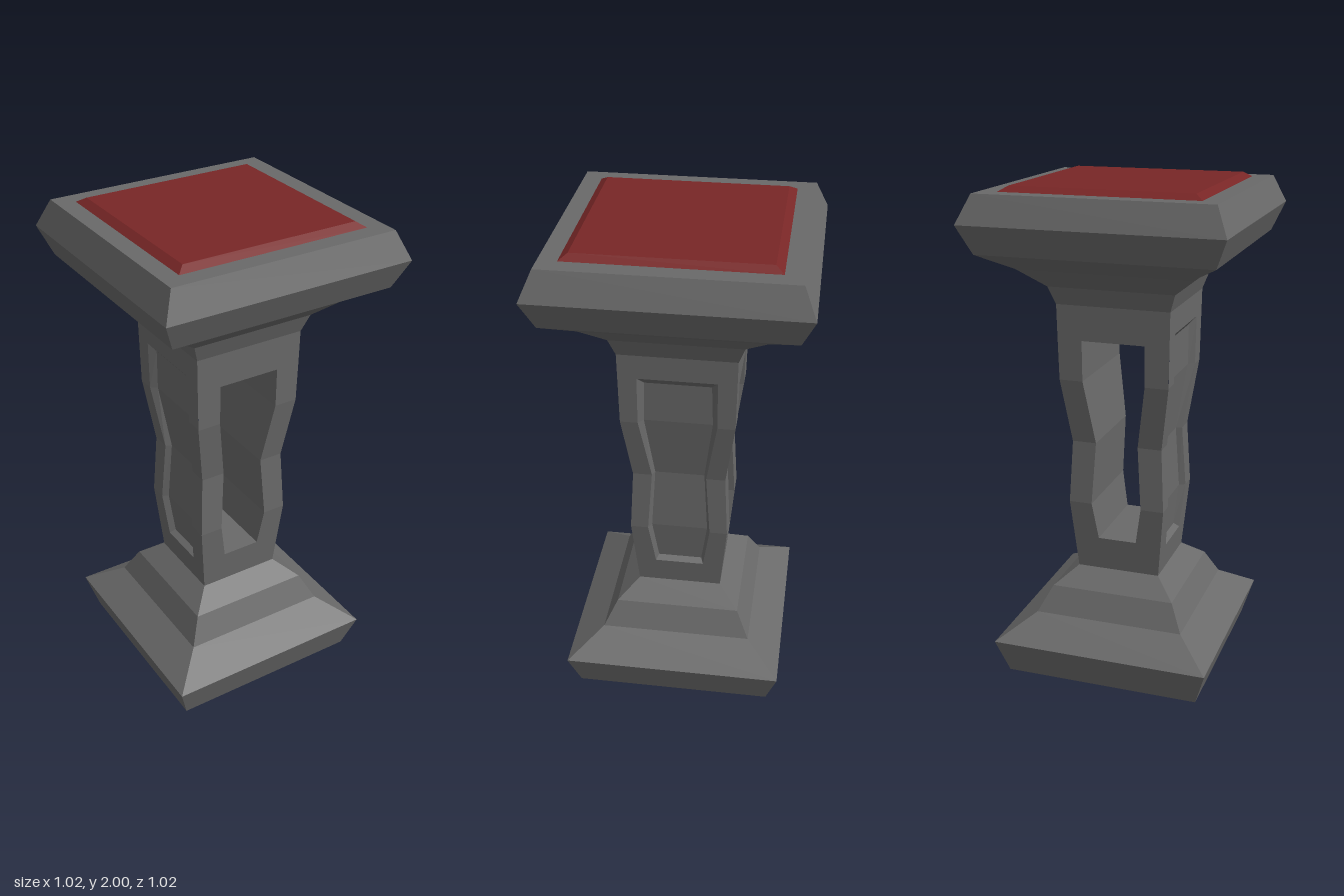
import * as THREE from 'three';

const stone = new THREE.MeshStandardMaterial({ color: 0x696969 });
stone.name = 'grey stone';
const red = new THREE.MeshStandardMaterial({ color: 0x782626 });
red.name = 'dark red';

// Shaft half-width by height
const SHAFT = [[0.415, 0.173], [0.71, 0.2], [0.97, 0.187], [1.24, 0.225], [1.54, 0.23]];
// Half-width by height of the through opening, and of the sunken side panel
const OPENING = [[0.555, 0.08], [0.71, 0.105], [0.97, 0.088], [1.235, 0.128], [1.4, 0.128]];
const PANEL_RIM = [[0.525, 0.1], [0.71, 0.128], [0.97, 0.11], [1.24, 0.155], [1.44, 0.155]];
const PANEL_FLOOR = [[0.54, 0.09], [0.71, 0.115], [0.97, 0.1], [1.24, 0.135], [1.41, 0.13]];
const PANEL_DEPTH = 0.025;

function shaftWidth(y) {
  let i = 1;
  while (i < SHAFT.length - 1 && y > SHAFT[i][0]) i++;
  const [y0, w0] = SHAFT[i - 1], [y1, w1] = SHAFT[i];
  return w0 + (w1 - w0) * (y - y0) / (y1 - y0);
}

// Square turned profile with flat faces
function squareLoft(name, profile, material) {
  const points = profile.map(([y, w]) => new THREE.Vector2(w * Math.SQRT2, y));
  const geometry = new THREE.LatheGeometry(points, 4, Math.PI / 4).toNonIndexed();
  geometry.computeVertexNormals();
  const mesh = new THREE.Mesh(geometry, material);
  mesh.name = name;
  return mesh;
}

// Collects quads, corners counterclockwise
function quadSet() {
  const positions = [];
  return {
    quad(a, b, c, d) { positions.push(...a, ...b, ...c, ...a, ...c, ...d); },
    mesh(name, angle) {
      const geometry = new THREE.BufferGeometry();
      geometry.setAttribute('position', new THREE.Float32BufferAttribute(positions, 3));
      geometry.computeVertexNormals();
      const mesh = new THREE.Mesh(geometry, stone);
      mesh.name = name;
      mesh.rotation.y = angle;
      return mesh;
    },
  };
}

const at = (x, y, inset = 0) => [x, y, shaftWidth(y) - inset];

// Shaft face surrounding an opening
function addFrame(set, rows) {
  const bottom = SHAFT[0][0], top = SHAFT[SHAFT.length - 1][0];
  const full = (y0, y1) => {
    const a = shaftWidth(y0), b = shaftWidth(y1);
    set.quad(at(-a, y0), at(a, y0), at(b, y1), at(-b, y1));
  };
  full(bottom, rows[0][0]);
  full(rows[rows.length - 1][0], top);
  for (let i = 1; i < rows.length; i++) {
    const [y0, h0] = rows[i - 1], [y1, h1] = rows[i];
    const w0 = shaftWidth(y0), w1 = shaftWidth(y1);
    set.quad(at(h0, y0), at(w0, y0), at(w1, y1), at(h1, y1));
    set.quad(at(-w0, y0), at(-h0, y0), at(-h1, y1), at(-w1, y1));
  }
}

// Face with the through opening, one inner wall, half the sill and half the lintel
function openFace() {
  const set = quadSet();
  addFrame(set, OPENING);
  for (let i = 1; i < OPENING.length; i++) {
    const [y0, h0] = OPENING[i - 1], [y1, h1] = OPENING[i];
    const w0 = shaftWidth(y0), w1 = shaftWidth(y1);
    set.quad([h0, y0, -w0], [h0, y0, w0], [h1, y1, w1], [h1, y1, -w1]);
  }
  const [ys, hs] = OPENING[0], [yl, hl] = OPENING[OPENING.length - 1];
  set.quad(at(-hs, ys), at(hs, ys), [hs, ys, 0], [-hs, ys, 0]);
  set.quad([-hl, yl, 0], [hl, yl, 0], at(hl, yl), at(-hl, yl));
  return set;
}

// Face with the bevelled sunken panel
function panelFace() {
  const set = quadSet();
  addFrame(set, PANEL_RIM);
  const rim = (i, s) => at(s * PANEL_RIM[i][1], PANEL_RIM[i][0]);
  const floor = (i, s) => at(s * PANEL_FLOOR[i][1], PANEL_FLOOR[i][0], PANEL_DEPTH);
  const last = PANEL_RIM.length - 1;
  for (let i = 0; i < last; i++) {
    const j = i + 1;
    set.quad(floor(i, 1), rim(i, 1), rim(j, 1), floor(j, 1));
    set.quad(rim(i, -1), floor(i, -1), floor(j, -1), rim(j, -1));
    set.quad(floor(i, -1), floor(i, 1), floor(j, 1), floor(j, -1));
  }
  set.quad(rim(0, -1), rim(0, 1), floor(0, 1), floor(0, -1));
  set.quad(floor(last, -1), floor(last, 1), rim(last, 1), rim(last, -1));
  return set;
}

export function createModel() {
  const model = new THREE.Group();
  model.name = 'pedestal';

  // Stepped foot
  model.add(squareLoft('base', [
    [0, 0], [0, 0.402], [0.145, 0.447], [0.24, 0.31], [0.345, 0.257], [0.415, 0.173],
  ], stone));

  // Hollow waisted shaft, each face repeated on the opposite side
  const shaft = new THREE.Group();
  shaft.name = 'shaft';
  const open = openFace(), panel = panelFace();
  shaft.add(
    open.mesh('frontOpening', 0), open.mesh('backOpening', Math.PI),
    panel.mesh('leftPanel', Math.PI / 2), panel.mesh('rightPanel', -Math.PI / 2),
  );
  model.add(shaft);

  // Flared top
  model.add(squareLoft('capital', [
    [1.54, 0.23], [1.612, 0.255], [1.69, 0.345], [1.757, 0.46],
    [1.87, 0.508], [1.98, 0.46], [1.98, 0],
  ], stone));

  // Bevelled red slab on top
  model.add(squareLoft('topInlay', [[1.98, 0.388], [2, 0.357], [2, 0]], red));

  return model;
}
